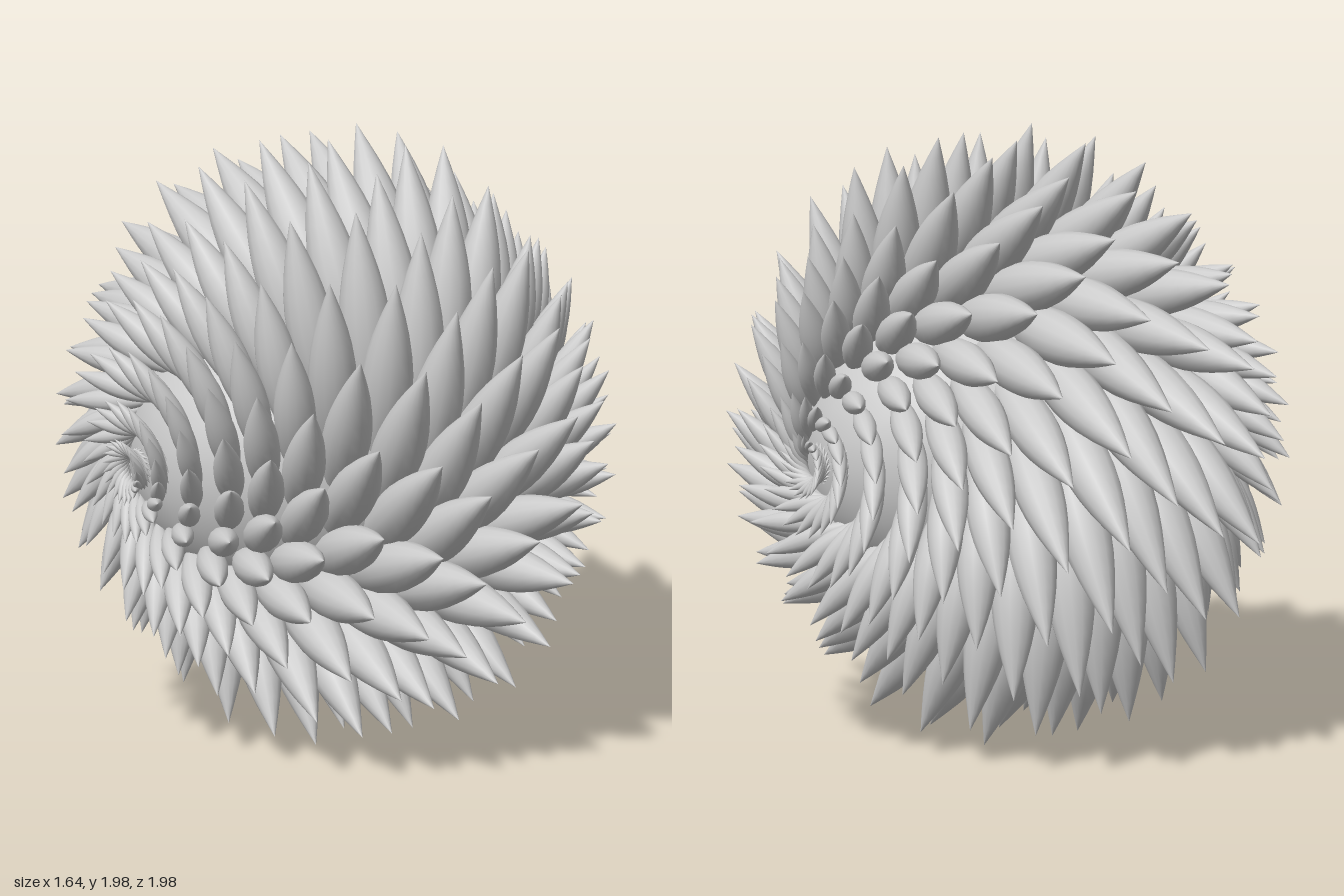
import * as THREE from 'three';

// One row per ring of spikes, from the middle ring outwards to the pole:
// tip x, tip radius, tip phase (deg), x at widest point, widest radius, half length, lean (deg)
const RINGS = [
  [0.00, 0.99, 3.0, 0.00, 0.088, 0.42, 30],
  [0.183, 0.997, 10.4, 0.15, 0.086, 0.41, 27],
  [0.376, 0.937, 15.0, 0.31, 0.08, 0.38, 25],
  [0.51, 0.79, 7.6, 0.44, 0.07, 0.31, 28],
  [0.63, 0.67, 16.0, 0.54, 0.06, 0.27, 28],
  [0.73, 0.56, 7.0, 0.635, 0.05, 0.23, 29],
  [0.795, 0.41, 16.0, 0.715, 0.037, 0.18, 30],
  [0.815, 0.24, 7.0, 0.76, 0.025, 0.13, 30],
  [0.82, 0.11, 16.0, 0.78, 0.015, 0.08, 30],
];
const PER_RING = 20;
const UP = new THREE.Vector3(0, 1, 0);

// Position on a circle about the x axis; angle runs from the top towards the back
const around = (x, r, a) => new THREE.Vector3(x, r * Math.cos(a), -r * Math.sin(a));

export function createModel() {
  const model = new THREE.Group();
  model.name = 'spikyBall';
  const material = new THREE.MeshStandardMaterial({ color: 0xcccccc });

  // Unit spike: pointed at both ends, widest in the middle
  const profile = [];
  for (let i = 0; i <= 12; i++) {
    const t = i / 12;
    profile.push(new THREE.Vector2(Math.sin(Math.PI * t), 2 * t - 1));
  }
  profile[0].x = profile[12].x = 0;
  const spikeGeometry = new THREE.LatheGeometry(profile, 14);

  const ball = new THREE.Group();
  ball.name = 'spikes';
  ball.position.y = 1;
  model.add(ball);

  // Closed body beneath the spikes
  const core = new THREE.Mesh(new THREE.SphereGeometry(1, 32, 20), material);
  core.name = 'core';
  core.scale.set(0.72, 0.56, 0.56);
  ball.add(core);

  // Rings of leaning spikes, mirrored to both sides
  RINGS.forEach(([tipX, tipR, phase, midX, width, half, lean], k) => {
    for (const side of k === 0 ? [1] : [1, -1]) {
      const ring = new THREE.Group();
      ring.name = k === 0 ? 'middleRing' : `${side > 0 ? 'left' : 'right'}Ring${k}`;
      for (let i = 0; i < PER_RING; i++) {
        const a = THREE.MathUtils.degToRad(phase + (i * 360) / PER_RING);
        const dx = tipX - midX;
        const flat = Math.sqrt(half * half - dx * dx);
        const tip = around(side * tipX, tipR, a);
        const axis = around(side * dx, flat, a + THREE.MathUtils.degToRad(lean));
        const spike = new THREE.Mesh(spikeGeometry, material);
        spike.name = 'spike';
        spike.position.copy(tip).sub(axis);
        spike.quaternion.setFromUnitVectors(UP, axis.normalize());
        spike.scale.set(width, half, width);
        ring.add(spike);
      }
      ball.add(ring);
    }
  });
  return model;
}
